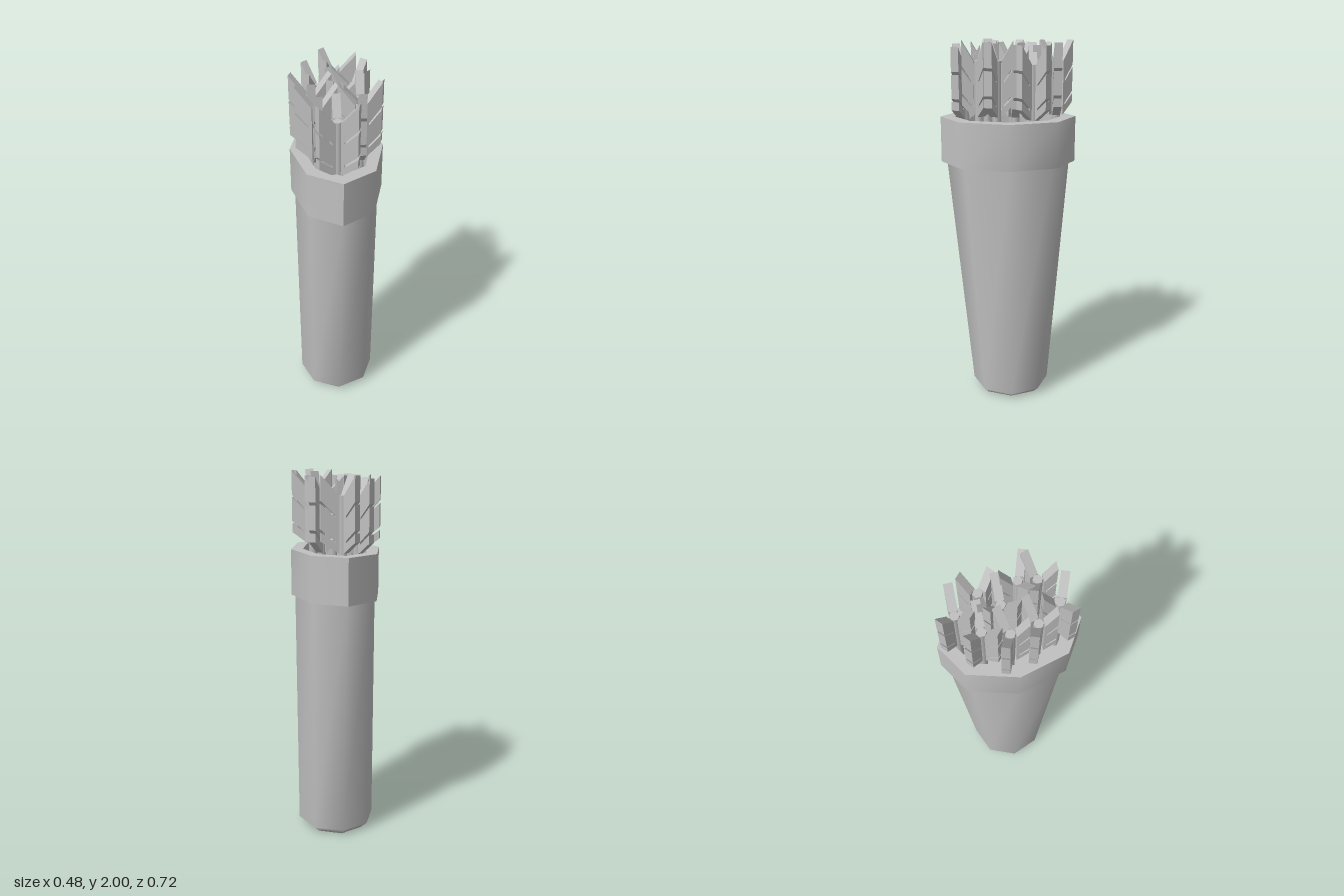
import * as THREE from 'three';
import { toCreasedNormals } from 'three/addons/utils/BufferGeometryUtils.js';

const SIDES = 8;

// Skin a stack of elliptical octagon rings: [y, radiusX, radiusZ, centreZ]
function loft(rings) {
  const pos = [], index = [];
  for (const [y, rx, rz, cz] of rings) {
    for (let i = 0; i < SIDES; i++) {
      const a = (i / SIDES) * Math.PI * 2;
      pos.push(rx * Math.cos(a), y, cz + rz * Math.sin(a));
    }
  }
  for (let r = 0; r < rings.length - 1; r++) {
    for (let i = 0; i < SIDES; i++) {
      const n = (i + 1) % SIDES, a = r * SIDES + i, b = r * SIDES + n;
      index.push(a, a + SIDES, b, a + SIDES, b + SIDES, b);
    }
  }
  const g = new THREE.BufferGeometry();
  g.setAttribute('position', new THREE.Float32BufferAttribute(pos, 3));
  g.setIndex(index);
  g.computeVertexNormals();
  return g;
}

// Side outline of one vane: distance 0 (inner) to 1 (outer), height below the tip
const VANE_BLOCKS = [
  [[0, -0.10], [1, 0], [1, -0.125], [0, -0.215]],
  [[0, -0.225], [1, -0.14], [1, -0.265], [0, -0.335]],
  [[0, -0.345], [1, -0.28], [1, -0.325], [0, -0.385]],
];
const VANE_WIDTH = 0.042;

// Vane blocks run from a small inner ellipse to a wider outer one
function makeVane(angle, material) {
  const vane = new THREE.Group();
  vane.name = 'vane';
  const inner = new THREE.Vector2(0.022 * Math.cos(angle), 0.026 * Math.sin(angle));
  const outer = new THREE.Vector2(0.115 * Math.cos(angle), 0.086 * Math.sin(angle));
  const dir = outer.clone().sub(inner);
  const length = dir.length();
  const add = (outline, name) => {
    const shape = new THREE.Shape(outline.map(([u, y]) => new THREE.Vector2(u * length, y)));
    const g = new THREE.ExtrudeGeometry(shape, { depth: VANE_WIDTH, bevelEnabled: false });
    g.translate(0, 0, -VANE_WIDTH / 2);
    const mesh = new THREE.Mesh(g, material);
    mesh.name = name;
    vane.add(mesh);
  };
  VANE_BLOCKS.forEach((outline) => add(outline, 'vaneBlock'));
  // root strip joining the blocks
  add([[0, -0.11], [0.2, -0.11], [0.2, -0.36], [0, -0.375]], 'vaneRoot');
  vane.position.set(inner.x, 0, inner.y);
  vane.rotation.y = -Math.atan2(dir.y, dir.x);
  return vane;
}

function makeArrow(x, z, top, heading, material) {
  const arrow = new THREE.Group();
  arrow.name = 'arrow';
  const length = top - 0.1 - 1.36;
  const shaft = new THREE.Mesh(new THREE.CylinderGeometry(0.025, 0.02, length, 6), material.flat);
  shaft.name = 'shaft';
  shaft.position.y = -0.1 - length / 2;
  arrow.add(shaft);
  for (let i = 0; i < 3; i++) {
    arrow.add(makeVane(THREE.MathUtils.degToRad(heading + i * 120), material.flat));
  }
  arrow.position.set(x, top, z);
  return arrow;
}

// x, z, tip height, heading of the first vane in degrees from +x towards +z
const ARROWS = [
  [0.008, -0.253, 1.99, 0],
  [-0.088, -0.15, 1.97, 0],
  [0.10, -0.128, 1.98, 180],
  [0.02, -0.038, 1.98, 0],
  [-0.127, -0.025, 1.975, 90],
  [-0.105, 0.11, 1.975, 90],
  [0.10, 0.153, 2.0, 90],
  [0.113, 0.062, 2.0, 270],
  [-0.017, 0.233, 1.965, 270],
];

export function createModel() {
  const model = new THREE.Group();
  model.name = 'quiver';
  const grey = new THREE.MeshStandardMaterial({ color: 0xc0c0c0 });
  grey.name = 'plainGrey';

  // Tapered body with a softened base
  const body = new THREE.Mesh(loft([
    [0, 0, 0, -0.015],
    [0, 0.17, 0.185, -0.015],
    [0.035, 0.215, 0.215, -0.015],
    [1.36, 0.22, 0.33, 0],
  ]), grey);
  body.name = 'body';
  model.add(body);

  // Thick collar with a recessed mouth
  const collar = new THREE.Mesh(toCreasedNormals(loft([
    [1.35, 0.19, 0.29, 0],
    [1.35, 0.24, 0.36, 0],
    [1.595, 0.24, 0.36, 0],
    [1.595, 0.175, 0.285, 0],
    [1.38, 0.175, 0.285, 0],
    [1.38, 0, 0, 0],
  ]), THREE.MathUtils.degToRad(50)), grey);
  collar.name = 'collar';
  model.add(collar);

  // Arrows standing in the mouth
  for (const [x, z, top, heading] of ARROWS) {
    model.add(makeArrow(x, z, top, heading, { flat: grey }));
  }
  return model;
}
